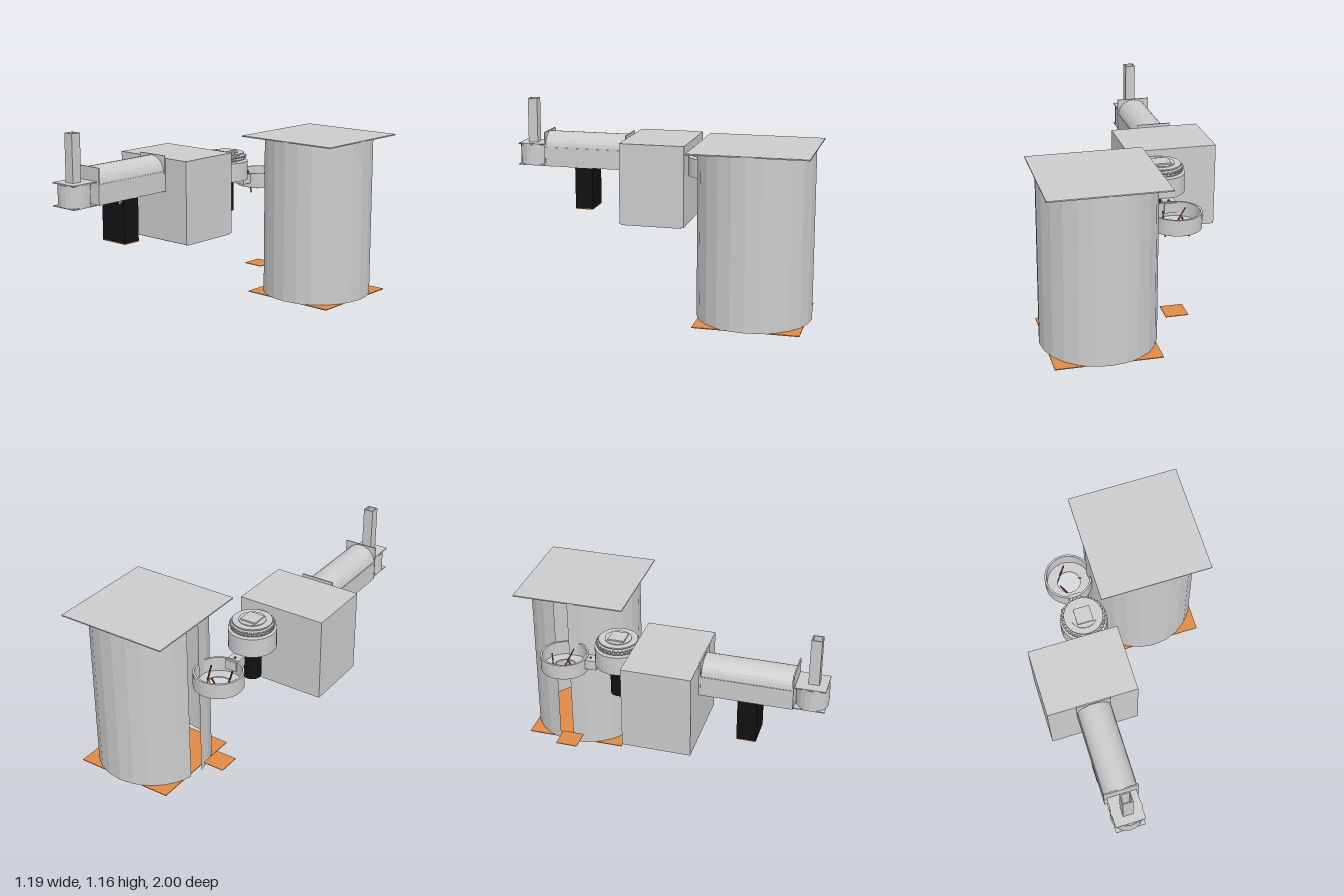
import * as THREE from 'three';

const mat = (color) => new THREE.MeshStandardMaterial({ color, flatShading: true, side: THREE.DoubleSide });
const GREY = mat(0xcccccc), BLACK = mat(0x111111), ORANGE = mat(0xe08a45), RED = mat(0x8b2a1a);

export function createModel() {
  const root = new THREE.Group();

  const add = (name, geo, x, y, z, m = GREY, parent = root) => {
    const mesh = new THREE.Mesh(geo, m);
    mesh.name = name;
    mesh.position.set(x, y, z);
    parent.add(mesh);
    return mesh;
  };
  // Box given by its extents on each axis
  const box = (name, [x0, x1], [y0, y1], [z0, z1], m) =>
    add(name, new THREE.BoxGeometry(x1 - x0, y1 - y0, z1 - z0), (x0 + x1) / 2, (y0 + y1) / 2, (z0 + z1) / 2, m);
  // Upright cylinder given by centre, radius and heights
  const cyl = (name, x, z, r, y0, y1, sides, m, open = false) =>
    add(name, new THREE.CylinderGeometry(r, r, y1 - y0, sides, 1, open), x, (y0 + y1) / 2, z, m);
  // Upright hollow extrusion of an outline with a hole
  const extrudeUp = (name, shape, x, y0, z, h) => {
    const g = new THREE.ExtrudeGeometry(shape, { depth: h, bevelEnabled: false, curveSegments: 18 });
    g.rotateX(-Math.PI / 2);
    return add(name, g, x, y0, z);
  };
  const ringShape = (r, inner) => {
    const s = new THREE.Shape().absarc(0, 0, r, 0, Math.PI * 2);
    s.holes.push(new THREE.Path().absarc(0, 0, inner, 0, Math.PI * 2, true));
    return s;
  };
  const squarePoints = (h) => [[-h, -h], [h, -h], [h, h], [-h, h]].map(([x, y]) => new THREE.Vector2(x, y));

  // Tank: 24 flat panels, one left out on the -x side as an opening
  const step = Math.PI / 12;
  add('tankPanels', new THREE.CylinderGeometry(0.343, 0.343, 1.012, 23, 1, true, 18 * step, 23 * step), 0.245, 0.511, -0.652);
  box('tankLid', [-0.1, 0.59], [1.016, 1.023], [-1, -0.305]);
  box('tankFloor', [-0.067, 0.557], [0, 0.005], [-0.964, -0.34], ORANGE);
  box('dropPlate', [-0.285, -0.15], [0.107, 0.111], [-0.698, -0.562], ORANGE);

  // Main housing
  box('housing', [-0.6, -0.05], [0.428, 0.94], [-0.15, 0.262]);
  box('housingBase', [-0.575, -0.05], [0.423, 0.428], [-0.13, 0.25]);

  // Feed trough with rounded cover and end plates
  box('trough', [-0.427, -0.222], [0.737, 0.86], [0.262, 0.81]);
  const cover = new THREE.CylinderGeometry(0.1, 0.1, 0.53, 16, 1, false, Math.PI / 2, Math.PI);
  cover.rotateX(Math.PI / 2);
  add('troughCover', cover, -0.3245, 0.852, 0.54);
  for (const z of [0.264, 0.802]) box('endPlate', [-0.428, -0.22], [0.737, 0.957], [z, z + 0.008]);

  // Motor box under the trough
  box('motorBox', [-0.416, -0.228], [0.47, 0.737], [0.49, 0.605], BLACK);
  box('motorBoxBase', [-0.416, -0.228], [0.465, 0.47], [0.49, 0.605], ORANGE);
  for (const x of [-0.387, -0.26]) {
    box('bracketHead', [x - 0.012, x + 0.012], [0.72, 0.73], [0.605, 0.615]);
    box('bracketFoot', [x - 0.006, x + 0.006], [0.708, 0.72], [0.605, 0.613]);
  }

  // Inlet at the front: round body, square plates and a hollow square chute
  cyl('inletBody', -0.324, 0.905, 0.095, 0.741, 0.87, 20);
  box('inletTopPlate', [-0.413, -0.235], [0.87, 0.877], [0.812, 0.99]);
  box('inletBottomPlate', [-0.413, -0.235], [0.735, 0.741], [0.812, 0.99]);
  const chute = new THREE.Shape(squarePoints(0.031));
  chute.holes.push(new THREE.Path(squarePoints(0.024).reverse()));
  extrudeUp('chute', chute, -0.324, 0.877, 0.91, 0.285);

  // Turntable drum with stacked discs, teeth and motor
  const X = -0.22, Z = -0.286;
  cyl('drum', X, Z, 0.142, 0.737, 0.855, 32);
  cyl('drumNeck', X, Z, 0.095, 0.855, 0.9, 24);
  [[0.128, 0.865, 0.872], [0.123, 0.88, 0.89], [0.118, 0.9, 0.908]].forEach(([r, a, b]) => cyl('drumDisc', X, Z, r, a, b, 32));
  for (let i = 0; i < 32; i++) {
    const a = (i / 32) * Math.PI * 2;
    const tooth = add('drumTooth', new THREE.BoxGeometry(0.012, 0.008, 0.012), X + 0.128 * Math.sin(a), 0.885, Z + 0.128 * Math.cos(a));
    tooth.rotation.y = a;
  }
  cyl('drumHub', X, Z, 0.08, 0.908, 0.913, 24);
  box('drumCap', [X - 0.05, X + 0.05], [0.913, 0.922], [Z - 0.05, Z + 0.05]);
  cyl('drumMotor', X, Z, 0.053, 0.53, 0.737, 20, BLACK);

  // Link and open ring holder beside the tank
  const RZ = -0.632;
  box('link', [X - 0.037, X + 0.037], [0.68, 0.74], [-0.51, -0.42]);
  cyl('linkPin', X, -0.466, 0.007, 0.735, 0.745, 8, RED);
  extrudeUp('ringWall', ringShape(0.147, 0.135), X, 0.65, RZ, 0.095);
  extrudeUp('ringFloor', ringShape(0.14, 0.07), X, 0.652, RZ, 0.006);
  // Three slanted fingers round the hole
  for (let i = 0; i < 3; i++) {
    const pivot = new THREE.Group();
    pivot.name = 'finger';
    pivot.position.set(X, 0.67, RZ);
    pivot.rotation.y = Math.PI / 2 + (i * Math.PI * 2) / 3;
    root.add(pivot);
    add('fingerRod', new THREE.BoxGeometry(0.007, 0.15, 0.007), 0, 0, 0.072, RED, pivot).rotation.z = 0.45;
  }
  return root;
}
